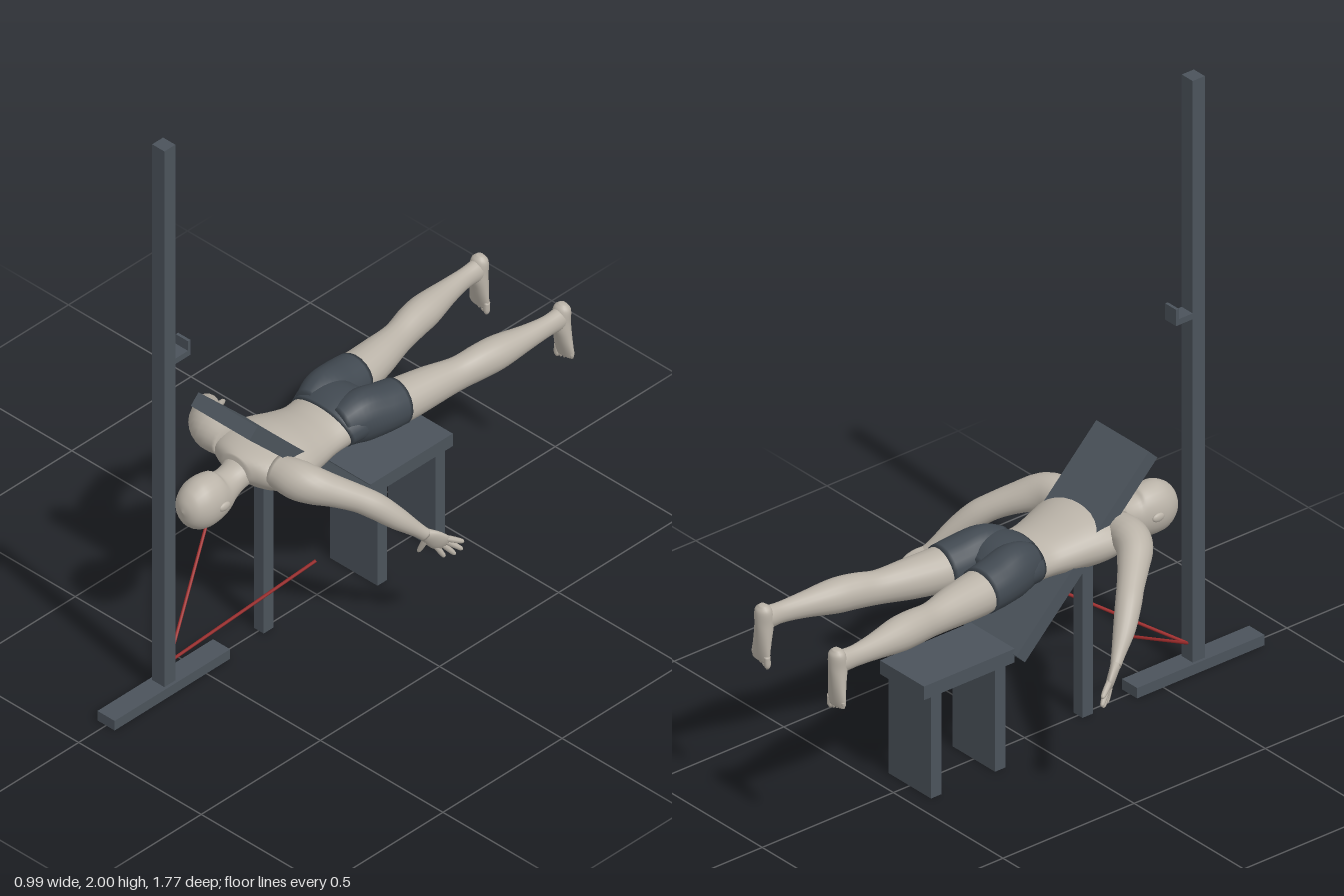
import * as THREE from 'three';

const mat = (name, color) => Object.assign(new THREE.MeshStandardMaterial({ color }), { name });

// Smooth tube of elliptical rings; station = [x, y, z, radius along ref, radius across]
function loft(stations, ref = [1, 0, 0], sides = 24, sub = 5) {
  const centres = new THREE.CatmullRomCurve3(stations.map(s => new THREE.Vector3(s[0], s[1], s[2])), false, 'catmullrom', 0.5);
  const radii = new THREE.CatmullRomCurve3(stations.map(s => new THREE.Vector3(s[3], s[4], 0)), false, 'catmullrom', 0.5);
  const n = (stations.length - 1) * sub;
  const pos = [], idx = [];
  for (let i = 0; i <= n; i++) {
    const c = centres.getPoint(i / n), r = radii.getPoint(i / n), t = centres.getTangent(i / n);
    const side = new THREE.Vector3(...ref);
    side.addScaledVector(t, -side.dot(t)).normalize();
    const up = new THREE.Vector3().crossVectors(t, side);
    for (let j = 0; j < sides; j++) {
      const a = (j / sides) * Math.PI * 2;
      const p = c.clone()
        .addScaledVector(side, Math.cos(a) * Math.max(r.x, 0.001))
        .addScaledVector(up, Math.sin(a) * Math.max(r.y, 0.001));
      pos.push(p.x, p.y, p.z);
      if (i < n) {
        const k = (j + 1) % sides, b = i * sides, d = b + sides;
        idx.push(b + j, b + k, d + j, b + k, d + k, d + j);
      }
    }
  }
  // End caps
  const first = stations[0], last = stations[stations.length - 1], m = pos.length / 3;
  pos.push(first[0], first[1], first[2], last[0], last[1], last[2]);
  for (let j = 0; j < sides; j++) {
    const k = (j + 1) % sides;
    idx.push(m, k, j, m + 1, n * sides + j, n * sides + k);
  }
  const g = new THREE.BufferGeometry();
  g.setAttribute('position', new THREE.Float32BufferAttribute(pos, 3));
  g.setIndex(idx);
  g.computeVertexNormals();
  return g;
}

export function createModel() {
  const root = new THREE.Group();
  const steel = mat('slate frame', 0x4b535b);
  const skin = mat('pale skin', 0xbab3a8);
  const cloth = mat('dark shorts', 0x414951);
  const red = mat('red band', 0x9c2b2b);

  const group = (name) => {
    const g = new THREE.Group();
    g.name = name;
    root.add(g);
    return g;
  };
  const add = (parent, name, geo, material) => {
    const m = new THREE.Mesh(geo, material);
    m.name = name;
    parent.add(m);
    return m;
  };
  const box = (parent, name, w, h, d, x, y, z) => {
    const m = add(parent, name, new THREE.BoxGeometry(w, h, d), steel);
    m.position.set(x, y, z);
    return m;
  };
  const ball = (parent, name, p, s) => {
    const m = add(parent, name, new THREE.SphereGeometry(1, 16, 12), skin);
    m.position.set(...p);
    m.scale.set(...s);
    return m;
  };

  // Upright stand with hook
  const stand = group('stand');
  box(stand, 'standBase', 0.07, 0.035, 0.485, 0, 0.0175, 0.6425);
  box(stand, 'post', 0.05, 1.97, 0.046, 0, 1.015, 0.643);
  box(stand, 'hookArm', 0.05, 0.02, 0.064, 0, 1.205, 0.59);
  box(stand, 'hookTip', 0.05, 0.055, 0.01, 0, 1.2225, 0.562);

  // Bench: low seat, two panel legs, sloped pad and its prop
  const bench = group('bench');
  box(bench, 'seat', 0.2, 0.046, 0.346, 0, 0.367, -0.294);
  for (const z of [-0.174, -0.418]) box(bench, 'benchLeg', 0.195, 0.345, 0.04, 0, 0.1725, z);
  box(bench, 'slopedPad', 0.24, 0.046, 0.714, 0, 0.613, 0.1375).rotation.x = -Math.PI / 4;
  box(bench, 'padProp', 0.04, 0.68, 0.04, 0, 0.34, 0.224);

  // Resistance bands
  const bands = group('bands');
  for (const s of [-1, 1]) {
    const path = new THREE.LineCurve3(new THREE.Vector3(0, 0.09, 0.62), new THREE.Vector3(0.21 * s, 0.355, 0.22));
    add(bands, 'band', new THREE.TubeGeometry(path, 1, 0.005, 8), red);
  }

  // Figure lying face down
  const body = group('figure');
  add(body, 'torso', loft([
    [0, 0.65, 0.345, 0.05, 0.04], [0, 0.648, 0.31, 0.12, 0.056], [0, 0.635, 0.25, 0.16, 0.078],
    [0, 0.628, 0.18, 0.155, 0.087], [0, 0.62, 0.1, 0.133, 0.076], [0, 0.617, 0.03, 0.118, 0.066],
    [0, 0.622, -0.04, 0.12, 0.07]], [1, 0, 0], 32), skin);
  add(body, 'neckAndHead', loft([
    [0, 0.645, 0.3, 0.07, 0.045], [0, 0.625, 0.35, 0.05, 0.045], [0, 0.612, 0.39, 0.05, 0.056],
    [0, 0.605, 0.42, 0.058, 0.076], [0, 0.604, 0.46, 0.067, 0.084], [0, 0.605, 0.505, 0.066, 0.082],
    [0, 0.607, 0.54, 0.051, 0.062], [0, 0.608, 0.558, 0.03, 0.036], [0, 0.608, 0.566, 0.002, 0.002]], [1, 0, 0], 28), skin);
  ball(body, 'chin', [0, 0.545, 0.405], [0.032, 0.022, 0.02]);
  ball(body, 'nose', [0, 0.522, 0.448], [0.01, 0.014, 0.02]);

  // Shorts
  add(body, 'shortsHips', loft([
    [0, 0.62, -0.02, 0.123, 0.071], [0, 0.632, -0.075, 0.137, 0.079],
    [0, 0.63, -0.13, 0.125, 0.07], [0, 0.625, -0.175, 0.05, 0.04]], [1, 0, 0], 32), cloth);

  for (const s of [-1, 1]) {
    const side = s > 0 ? 'left' : 'right';
    const flip = rows => rows.map(r => [r[0] * s, ...r.slice(1)]);
    const part = (name, rows, material = skin, ref = [1, 0, 0], sides = 20) =>
      add(body, side + name, loft(flip(rows), [ref[0] * s, ref[1], ref[2]], sides), material);

    ball(body, side + 'Ear', [0.066 * s, 0.605, 0.455], [0.008, 0.014, 0.022]);

    // Leg and foot
    part('ShortsLeg', [
      [0.06, 0.628, -0.03, 0.055, 0.066], [0.07, 0.637, -0.1, 0.072, 0.083],
      [0.082, 0.63, -0.18, 0.077, 0.077], [0.088, 0.624, -0.245, 0.074, 0.073]], cloth);
    part('Leg', [
      [0.084, 0.626, -0.2, 0.068, 0.068], [0.09, 0.622, -0.26, 0.07, 0.068], [0.104, 0.623, -0.36, 0.06, 0.062],
      [0.122, 0.625, -0.46, 0.047, 0.053], [0.137, 0.634, -0.54, 0.05, 0.055], [0.147, 0.638, -0.61, 0.05, 0.053],
      [0.16, 0.641, -0.71, 0.036, 0.04], [0.167, 0.643, -0.79, 0.027, 0.034],
      [0.168, 0.645, -0.845, 0.028, 0.036], [0.168, 0.65, -0.868, 0.02, 0.026]]);
    part('Foot', [
      [0.168, 0.693, -0.858, 0.012, 0.01], [0.168, 0.675, -0.856, 0.028, 0.024], [0.168, 0.63, -0.852, 0.029, 0.029],
      [0.17, 0.58, -0.856, 0.033, 0.022], [0.173, 0.53, -0.86, 0.038, 0.014], [0.173, 0.508, -0.861, 0.035, 0.01]]);
    for (let i = 0; i < 5; i++) {
      const x = 0.144 + i * 0.0148, r = i ? 0.0075 : 0.01, y = 0.487 + i * 0.005;
      part('Toe', [[x, 0.53, -0.861, r, r], [x, y + 0.012, -0.86, r, r], [x, y, -0.86, r * 0.4, r * 0.4]], skin, [1, 0, 0], 8);
    }

    // Arm
    const across = [0.62, 0.55, -0.56];
    part('Arm', [
      [0.1, 0.657, 0.272, 0.05, 0.05], [0.165, 0.655, 0.263, 0.06, 0.057], [0.215, 0.645, 0.24, 0.058, 0.055],
      [0.265, 0.622, 0.193, 0.047, 0.047], [0.31, 0.594, 0.145, 0.041, 0.041], [0.347, 0.562, 0.105, 0.04, 0.039],
      [0.385, 0.513, 0.058, 0.034, 0.033], [0.417, 0.463, 0.009, 0.023, 0.021], [0.432, 0.438, -0.014, 0.022, 0.016]],
      skin, across);
    part('Palm', [
      [0.428, 0.445, -0.008, 0.02, 0.016], [0.44, 0.425, -0.03, 0.031, 0.014],
      [0.452, 0.403, -0.053, 0.034, 0.012], [0.459, 0.392, -0.066, 0.026, 0.007]], skin, across);

    // Fingers as [knuckle, tip], then thumb
    const digits = [
      [[0.469, 0.412, -0.074], [0.49, 0.392, -0.113]], [[0.462, 0.402, -0.069], [0.486, 0.362, -0.112]],
      [[0.453, 0.392, -0.06], [0.473, 0.346, -0.095]], [[0.443, 0.383, -0.047], [0.455, 0.342, -0.068]],
      [[0.428, 0.418, -0.016], [0.401, 0.363, -0.012]]];
    for (const [a, b] of digits) {
      const mid = f => a.map((v, k) => v + (b[k] - v) * f);
      part(b[0] < 0.42 ? 'Thumb' : 'Finger', [
        [...mid(-0.4), 0.009, 0.009], [...mid(0.2), 0.0095, 0.0095],
        [...mid(0.85), 0.007, 0.007], [...mid(1), 0.002, 0.002]], skin, across, 8);
    }
  }
  return root;
}
